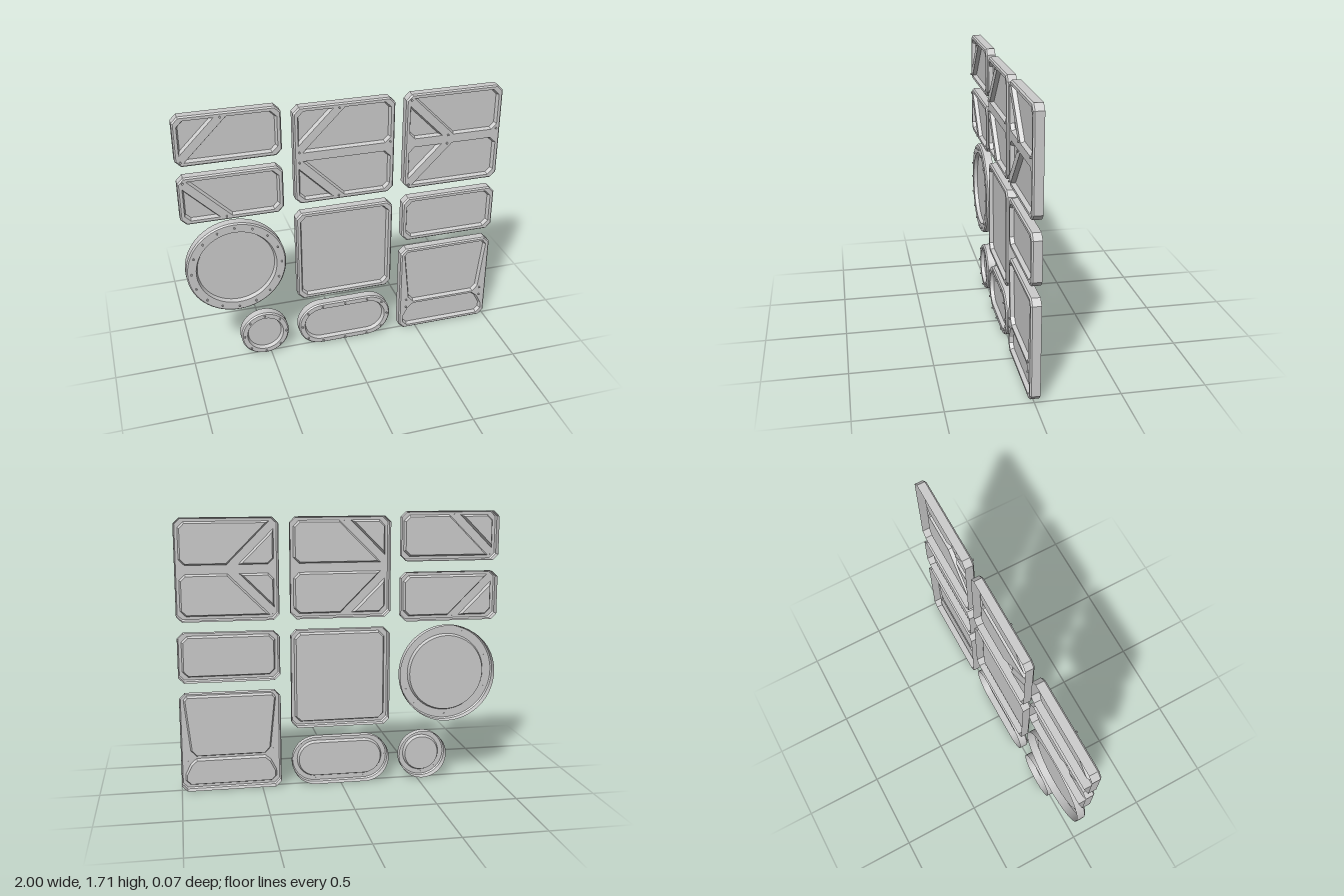
import * as THREE from 'three';

const BACK = -0.035, FRONT = 0.025, EDGE = 0.016, PANE = 0.001;
const V = (x, y) => new THREE.Vector2(x, y);
const pts = (...list) => list.map(([x, y]) => V(x, y));

// Counter-clockwise copy of a loop
const ccw = (loop) => (THREE.ShapeUtils.isClockWise(loop) ? [...loop].reverse() : loop);

// Moves every edge of a loop inward by d, with mitred corners
function inset(loop, d) {
  const n = loop.length;
  const normal = (a, b) => V(a.y - b.y, b.x - a.x).normalize();
  return loop.map((p, i) => {
    const n1 = normal(loop[(i + n - 1) % n], p), n2 = normal(p, loop[(i + 1) % n]);
    return p.clone().addScaledVector(n1.clone().add(n2), d / (1 + n1.dot(n2)));
  });
}

// Band between two matching loops at two depths
function strip(a, za, b, zb) {
  const n = a.length, pos = [], idx = [];
  a.forEach((p, i) => pos.push(p.x, p.y, za, b[i].x, b[i].y, zb));
  for (let i = 0; i < n; i++) {
    const j = (i + 1) % n;
    idx.push(2 * i, 2 * j, 2 * j + 1, 2 * i, 2 * j + 1, 2 * i + 1);
  }
  const g = new THREE.BufferGeometry();
  g.setAttribute('position', new THREE.Float32BufferAttribute(pos, 3));
  g.setIndex(idx);
  g.computeVertexNormals();
  return g;
}

// Rectangle with cut corners
const octagon = (x0, y0, x1, y1, c = 0.035) => pts(
  [x0 + c, y0], [x1 - c, y0], [x1, y0 + c], [x1, y1 - c],
  [x1 - c, y1], [x0 + c, y1], [x0, y1 - c], [x0, y0 + c]);

// Circle, or a stadium when half > 0
function pill(cx, cy, r, half = 0, n = 64) {
  const loop = [];
  for (const [side, start] of [[1, -Math.PI / 2], [-1, Math.PI / 2]]) {
    for (let i = half ? 0 : 1; i <= n / 2; i++) {
      const t = start + (i / (n / 2)) * Math.PI;
      loop.push(V(cx + side * half + r * Math.cos(t), cy + r * Math.sin(t)));
    }
  }
  return loop;
}

// Two openings separated by a diagonal bar, rising to the right or mirrored
function braced(x0, y0, x1, y1, rising) {
  const h = y1 - y0, c = 0.035;
  const flip = (p) => (rising ? p : V(p.x, y0 + y1 - p.y));
  return {
    openings: [
      pts([x0, y0 + 0.045], [x0 + h - 0.045, y1], [x0 + c, y1], [x0, y1 - c]).map(flip),
      pts([x0 + 0.025, y0], [x1 - c, y0], [x1, y0 + c], [x1, y1 - c], [x1 - c, y1],
        [x0 + 0.025 + h, y1]).map(flip),
    ],
    bolts: pts([x0 + 0.005, y0 + 0.006], [x0 + h - 0.01, y1]).map(flip),
  };
}

export function createModel() {
  const root = new THREE.Group();
  const flat = new THREE.MeshStandardMaterial({ color: 0xcccccc, side: THREE.DoubleSide, flatShading: true });
  const smooth = new THREE.MeshStandardMaterial({ color: 0xcccccc, side: THREE.DoubleSide });
  const boltGeo = new THREE.CylinderGeometry(0.006, 0.006, 0.011, 8).rotateX(Math.PI / 2);

  // Hollow-backed panel: side wall, front frame, bevelled openings, panes, bolts
  function panel(name, outline, openings, bolts = [], mat = flat) {
    const group = new THREE.Group();
    group.name = name;
    const add = (part, geo, m = mat) => {
      const mesh = new THREE.Mesh(geo, m);
      mesh.name = part;
      group.add(mesh);
      return mesh;
    };
    const outer = ccw(outline), rim = inset(outer, 0.008);
    add('sideWall', strip(outer, BACK, outer, EDGE));
    add('frontChamfer', strip(outer, EDGE, rim, FRONT));
    const face = new THREE.Shape(rim);
    for (const opening of openings) {
      const hole = ccw(opening), inner = inset(hole, 0.01);
      face.holes.push(new THREE.Path(hole));
      add('openingBevel', strip(hole, FRONT, inner, PANE));
      add('pane', new THREE.ShapeGeometry(new THREE.Shape(inner)).translate(0, 0, PANE));
    }
    add('frontFrame', new THREE.ShapeGeometry(face).translate(0, 0, FRONT));
    for (const b of bolts) add('bolt', boltGeo, flat).position.set(b.x, b.y, 0.0295);
    root.add(group);
  }

  // Small braced panels
  for (const [name, y0, rising] of [['upperBracedPanel', 1.41, true], ['lowerBracedPanel', 1.035, false]]) {
    const cell = braced(-0.975, y0 + 0.025, -0.405, y0 + 0.28, rising);
    panel(name, octagon(-1, y0, -0.38, y0 + 0.305), cell.openings, cell.bolts);
  }

  // Large double braced panels with a crossbar
  for (const [name, x, rising] of [['middleDoublePanel', -0.31, true], ['leftDoublePanel', 0.38, false]]) {
    const top = braced(x + 0.025, 1.405, x + 0.595, 1.665, rising);
    const low = braced(x + 0.025, 1.095, x + 0.595, 1.35, !rising);
    panel(name, octagon(x, 1.07, x + 0.62, 1.69), [...top.openings, ...low.openings],
      [...top.bolts, ...low.bolts, V(x + 0.592, 1.41)]);
  }

  // Plain panels
  panel('squarePanel', octagon(-0.31, 0.38, 0.31, 1), [octagon(-0.285, 0.405, 0.285, 0.975)]);
  panel('rectanglePanel', octagon(0.38, 0.695, 1, 1), [octagon(0.405, 0.72, 0.975, 0.975)]);

  // Panel with a tapered upper and a flared lower opening
  const mirrored = (half) => [...half.map(([x, y]) => V(0.69 + x, y)),
    ...half.map(([x, y]) => V(0.69 - x, y)).reverse()];
  panel('taperedPanel', octagon(0.38, 0.005, 1, 0.625), [
    mirrored([[0.215, 0.212], [0.25, 0.25], [0.285, 0.575], [0.265, 0.602]]),
    mirrored([[0.255, 0.028], [0.285, 0.058], [0.285, 0.1], [0.25, 0.168], [0.215, 0.198]]),
  ], [-0.265, 0.265].flatMap((x) => [V(0.69 + x, 0.235), V(0.69 + x, 0.178)]));

  // Round portholes
  const ring = (cx, cy, r, n) => Array.from({ length: n }, (_, i) => {
    const t = (i / n) * Math.PI * 2;
    return V(cx + r * Math.cos(t), cy + r * Math.sin(t));
  });
  panel('largePorthole', pill(-0.69, 0.69, 0.31), [pill(-0.69, 0.69, 0.25)], ring(-0.69, 0.69, 0.28, 16), smooth);
  panel('smallPorthole', pill(-0.535, 0.16, 0.155), [pill(-0.535, 0.16, 0.118)], ring(-0.535, 0.16, 0.136, 8), smooth);

  // Long rounded window
  const ends = ring(0, 0.158, 0.134, 8).map((p) => V(p.x + Math.sign(Math.round(p.x * 100)) * 0.155, p.y));
  const sides = [-0.15, 0.15].flatMap((x) => [V(x, 0.292), V(x, 0.024)]);
  panel('roundedWindow', pill(0, 0.158, 0.154, 0.156), [pill(0, 0.158, 0.117, 0.156)], [...ends, ...sides], smooth);

  return root;
}
